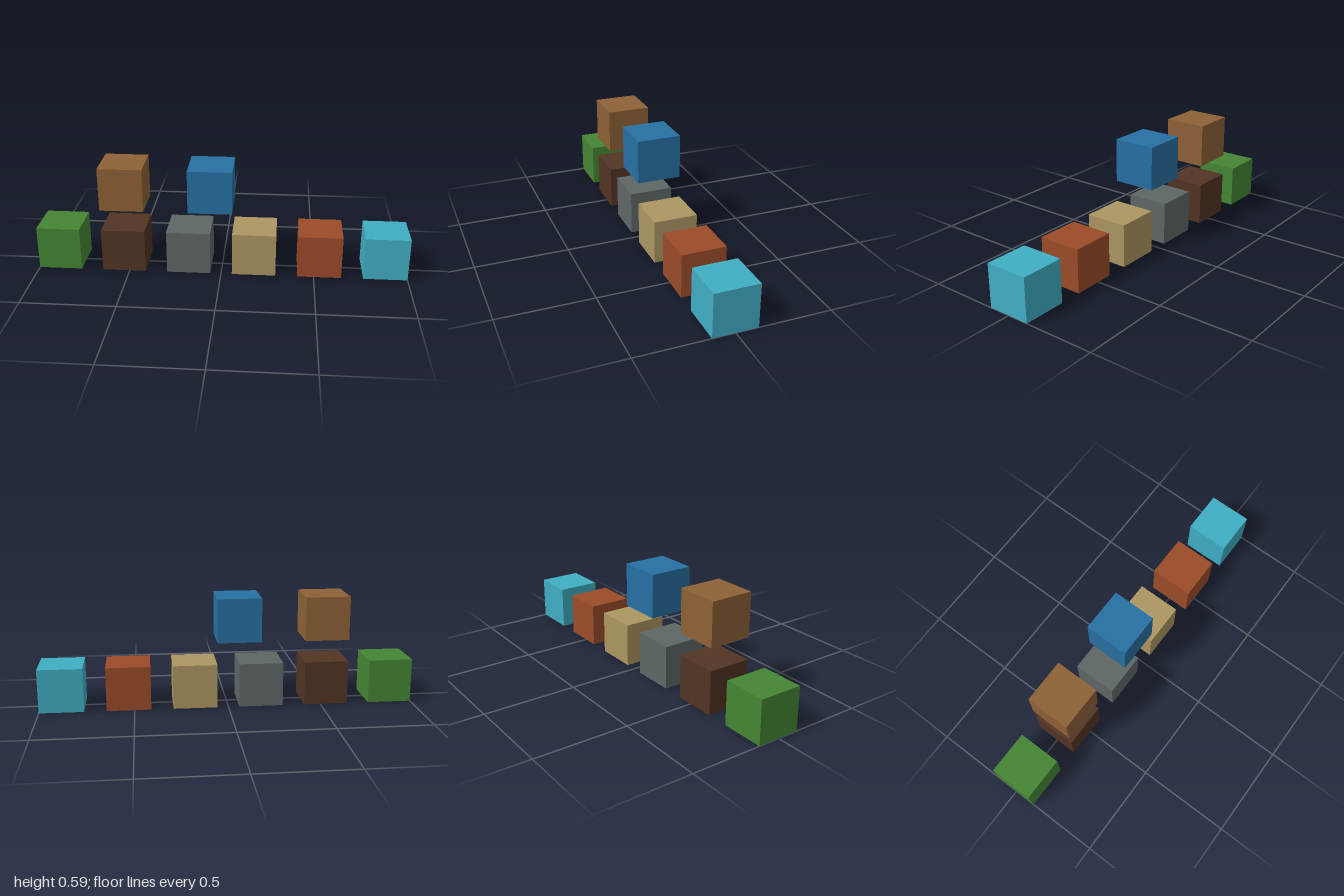
import * as THREE from 'three';

// Cube edge: six cubes spaced 1.5 edges apart span 2 units
const S = 2 / 8.5;

// name, colour, centre x and base y in cube edges
const BLOCKS = [
  ['greenBlock', 0x448633, -3.75, 0],
  ['darkBrownBlock', 0x523423, -2.25, 0],
  ['greyBlock', 0x5e6766, -0.75, 0],
  ['tanBlock', 0xac9662, 0.75, 0],
  ['rustBlock', 0x9b4b29, 2.25, 0],
  ['cyanBlock', 0x40aec4, 3.75, 0],
  // upper row
  ['brownBlock', 0x8e6136, -2.25, 1.5],
  ['blueBlock', 0x2670a3, -0.25, 1.5],
];

export function createModel() {
  const model = new THREE.Group();
  model.name = 'colouredBlocks';
  const cube = new THREE.BoxGeometry(S, S, S);
  for (const [name, color, x, y] of BLOCKS) {
    const block = new THREE.Mesh(cube, new THREE.MeshStandardMaterial({ color }));
    block.name = name;
    block.position.set(x * S, (y + 0.5) * S, 0);
    model.add(block);
  }
  return model;
}
